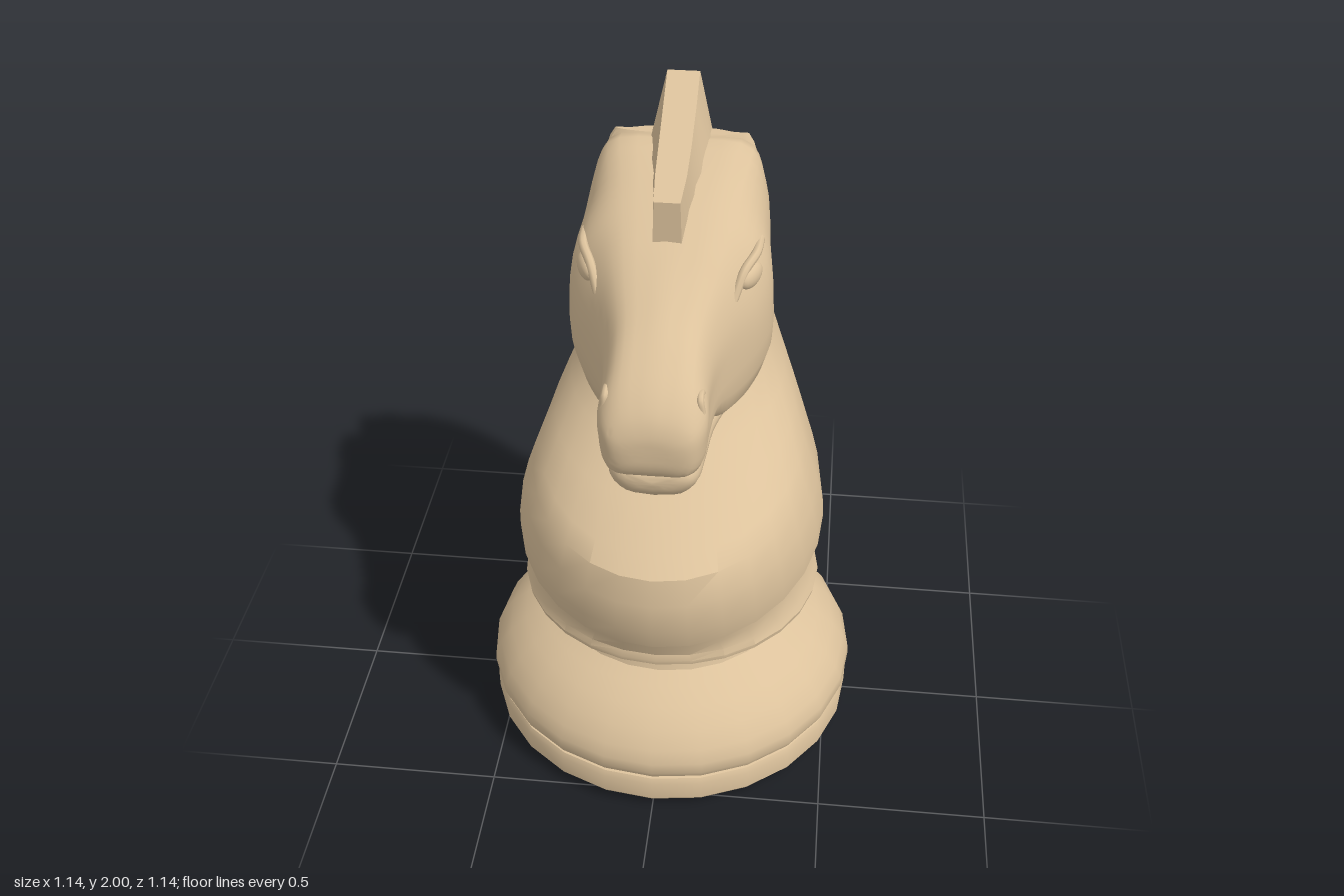
import * as THREE from 'three';
import { mergeVertices, toCreasedNormals } from 'three/addons/utils/BufferGeometryUtils.js';

const V = (x, y, z) => new THREE.Vector3(x, y, z);
const lerp = THREE.MathUtils.lerp;

// resample a row of points with a smooth curve
function smooth(points, n) {
  const curve = new THREE.CatmullRomCurve3(points);
  return Array.from({ length: n + 1 }, (_, i) => curve.getPoint(i / n));
}

// skin a list of half sections (x >= 0, centre to centre), mirrored to full rings
function loft(halves, crease) {
  const rings = halves.map(h => [...h, ...h.slice(1, -1).reverse().map(p => V(-p.x, p.y, p.z))]);
  const n = rings[0].length, pos = [], index = [];
  rings.forEach(r => r.forEach(p => pos.push(p.x, p.y, p.z)));
  for (let i = 0; i < rings.length - 1; i++) {
    for (let j = 0; j < n; j++) {
      const a = i * n + j, b = i * n + (j + 1) % n;
      index.push(a, a + n, b, b, a + n, b + n);
    }
  }
  const g = new THREE.BufferGeometry();
  g.setAttribute('position', new THREE.Float32BufferAttribute(pos, 3));
  g.setIndex(index);
  return toCreasedNormals(mergeVertices(g), crease);
}

// loft with smoothing across and along the sections
function smoothLoft(halves, across, along) {
  const rows = halves.map(h => smooth(h, across));
  const cols = rows[0].map((_, j) => smooth(rows.map(r => r[j]), along));
  return loft(Array.from({ length: along + 1 }, (_, i) => cols.map(c => c[i])), 0.8);
}

export function createModel() {
  const model = new THREE.Group();
  const wood = new THREE.MeshStandardMaterial({ color: 0xdcc29c });
  wood.name = 'paleWood';
  const add = (name, geometry) => {
    const mesh = new THREE.Mesh(geometry, wood);
    mesh.name = name;
    model.add(mesh);
    return mesh;
  };

  // turned pedestal
  const profile = [[0, 0], [0.52, 0], [0.53, 0.022], [0.555, 0.026], [0.565, 0.04], [0.565, 0.1],
    [0.557, 0.118], [0.54, 0.122], [0.54, 0.128], [0.56, 0.132], [0.57, 0.155], [0.568, 0.19],
    [0.55, 0.23], [0.515, 0.28], [0.465, 0.325], [0.41, 0.36], [0.37, 0.38], [0.365, 0.383],
    [0.35, 0.43], [0.342, 0.47], [0.342, 0.49]].map(p => new THREE.Vector2(...p));
  add('pedestal', toCreasedNormals(new THREE.LatheGeometry(profile, 24), 0.6));

  // chest and neck, top to bottom: front y, back y, front z, back z, half width, back corner x and z
  const neckRings = [
    [1.845, 1.845, -0.24, -0.29, 0.185, 0.18, -0.255],
    [1.82, 1.82, -0.22, -0.31, 0.2, 0.195, -0.265],
    [1.72, 1.72, -0.16, -0.37, 0.232, 0.2, -0.315],
    [1.6, 1.6, -0.1, -0.42, 0.245, 0.2, -0.36],
    [1.45, 1.45, -0.05, -0.47, 0.25, 0.21, -0.405],
    [1.28, 1.32, 0, -0.51, 0.255, 0.22, -0.44],
    [1.16, 1.25, 0.08, -0.53, 0.28, 0.23, -0.455],
    [1.08, 1.17, 0.19, -0.545, 0.318, 0.24, -0.47],
    [1.0, 1.1, 0.33, -0.552, 0.356, 0.245, -0.48]];
  const chestRings = [
    [0.925, 1.04, 0.47, -0.555, 0.388, 0.25, -0.485],
    [0.88, 0.98, 0.522, -0.555, 0.41, 0.25, -0.49],
    [0.8, 0.92, 0.542, -0.55, 0.435, 0.25, -0.49],
    [0.7, 0.86, 0.54, -0.545, 0.456, 0.25, -0.49],
    [0.625, 0.81, 0.515, -0.54, 0.46, 0.25, -0.487],
    [0.605, 0.71, 0.47, -0.475, 0.418, 0.23, -0.42],
    [0.56, 0.62, 0.455, -0.46, 0.418, 0.23, -0.405],
    [0.52, 0.525, 0.44, -0.468, 0.445, 0.25, -0.405],
    [0.5, 0.5, 0.446, -0.475, 0.455, 0.25, -0.41],
    [0.485, 0.485, 0.443, -0.472, 0.452, 0.25, -0.407],
    [0.48, 0.48, 0.43, -0.46, 0.44, 0.245, -0.395]];
  const bodyHalf = ([yF, yB, zF, zB, w, ex, ez]) => {
    const zw = (zF + zB) / 2, pts = [];
    for (let i = 0; i <= 7; i++) {
      const a = i / 7 * Math.PI / 2;
      pts.push([w * Math.sin(a), zw + (zF - zw) * Math.cos(a)]);
    }
    pts.push([lerp(ex, w, 0.88), lerp(zw, ez, 0.4)], [lerp(ex, w, 0.55), lerp(zw, ez, 0.75)],
      [ex, ez], [ex * 0.55, lerp(ez, zB, 0.72)], [0, zB]);
    return pts.map(([x, z]) => V(x, lerp(yF, yB, (zF - z) / (zF - zB)), z));
  };
  const body = [...neckRings, ...chestRings].map(bodyHalf);
  body.unshift(body[0].map(() => V(0, 1.845, -0.27)));
  body.push(body[body.length - 1].map(() => V(0, 0.48, 0)));
  add('chestAndNeck', loft(body, 0.55));

  // head, back to front: z, top y, then x and y of crown, brow, cheek and jaw, bottom y
  const skull = [
    [-0.36, 1.65, 0.1, 1.63, 0.17, 1.55, 0.2, 1.45, 0.2, 1.35, 1.33],
    [-0.25, 1.84, 0.19, 1.825, 0.235, 1.72, 0.25, 1.5, 0.245, 1.31, 1.28],
    [-0.1, 1.8, 0.17, 1.78, 0.245, 1.68, 0.267, 1.5, 0.25, 1.3, 1.25],
    [0.03, 1.755, 0.15, 1.735, 0.245, 1.65, 0.28, 1.5, 0.25, 1.275, 1.2],
    [0.12, 1.71, 0.135, 1.69, 0.213, 1.6, 0.25, 1.47, 0.215, 1.24, 1.167],
    [0.2, 1.665, 0.12, 1.64, 0.175, 1.56, 0.2, 1.44, 0.175, 1.235, 1.18]];
  const muzzle = [
    [0.3, 1.605, 0.1, 1.58, 0.145, 1.5, 0.155, 1.4, 0.142, 1.285, 1.272],
    [0.4, 1.545, 0.095, 1.525, 0.135, 1.46, 0.14, 1.38, 0.13, 1.272, 1.262],
    [0.48, 1.485, 0.095, 1.465, 0.138, 1.41, 0.14, 1.34, 0.12, 1.255, 1.245],
    [0.525, 1.43, 0.08, 1.415, 0.115, 1.385, 0.12, 1.33, 0.1, 1.26, 1.25],
    [0.543, 1.38, 0.055, 1.375, 0.085, 1.36, 0.09, 1.33, 0.07, 1.29, 1.285],
    [0.546, 1.335, 0, 1.335, 0, 1.335, 0, 1.335, 0, 1.335, 1.335]];
  add('head', smoothLoft([...skull, ...muzzle].map(([z, top, tx, ty, bx, by, cx, cy, jx, jy, bot]) =>
    [V(0, top, z), V(tx, ty, z), V(bx, by, z), V(cx, cy, z), V(jx, jy, z), V(0, bot, z)]), 18, 44));

  // lower jaw: z, top y, half width, bottom y
  add('lowerJaw', smoothLoft([
    [0.16, 1.25, 0.17, 1.17], [0.28, 1.26, 0.142, 1.165], [0.38, 1.247, 0.13, 1.138],
    [0.45, 1.23, 0.117, 1.13], [0.482, 1.222, 0.09, 1.16], [0.492, 1.195, 0, 1.195],
  ].map(([z, top, w, bot]) => [V(0, top, z), V(w * 0.9, top, z), V(w, lerp(bot, top, 0.6), z),
    V(w * 0.65, lerp(bot, top, 0.12), z), V(0, bot, z)]), 12, 20));

  // mane crest from the nape up and forward: outer z, y, inner z, y, outer and inner half width
  const crest = [
    [-0.55, 0.98, -0.5, 0.98, 0.05, 0.08], [-0.565, 1.13, -0.48, 1.1, 0.05, 0.09],
    [-0.567, 1.27, -0.46, 1.24, 0.05, 0.1], [-0.555, 1.42, -0.44, 1.37, 0.05, 0.105],
    [-0.53, 1.57, -0.4, 1.5, 0.048, 0.11], [-0.48, 1.72, -0.35, 1.63, 0.046, 0.11],
    [-0.41, 1.86, -0.28, 1.74, 0.045, 0.105], [-0.31, 2, -0.2, 1.78, 0.045, 0.095],
    [-0.2, 1.942, -0.12, 1.76, 0.045, 0.08], [-0.08, 1.887, -0.05, 1.73, 0.044, 0.065],
    [0.02, 1.852, 0.02, 1.7, 0.042, 0.052], [0.118, 1.825, 0.118, 1.66, 0.035, 0.04],
  ].map(([oz, oy, iz, iy, ow, iw]) => [V(0, oy, oz), V(ow, oy, oz), V(iw, iy, iz), V(0, iy, iz)]);
  crest.unshift(crest[0].map(() => V(0, 0.98, -0.52)));
  crest.push(crest[crest.length - 1].map(() => V(0, 1.74, 0.118)));
  add('maneCrest', loft(crest, 0.5));

  // eyes, lids and nostrils on both sides
  for (const s of [1, -1]) {
    const side = s > 0 ? 'left' : 'right';
    const ridge = (name, pts, r) => add(side + name, new THREE.TubeGeometry(
      new THREE.CatmullRomCurve3(pts.map(([x, y, z]) => V(x * s, y, z))), 16, r, 8));
    const eye = add(side + 'Eye', new THREE.SphereGeometry(1, 20, 12));
    eye.scale.set(0.024, 0.034, 0.055);
    eye.position.set(0.22 * s, 1.608, 0.092);
    eye.rotation.y = -0.38 * s;
    ridge('UpperLid', [[0.18, 1.57, 0.165], [0.205, 1.635, 0.12], [0.232, 1.657, 0.06], [0.238, 1.66, -0.015]], 0.013);
    ridge('LowerLid', [[0.18, 1.57, 0.165], [0.227, 1.567, 0.105], [0.245, 1.59, 0.045], [0.238, 1.655, 0.01]], 0.009);
    ridge('Nostril', [[0.128, 1.42, 0.47], [0.122, 1.455, 0.465], [0.122, 1.46, 0.435], [0.128, 1.425, 0.405]], 0.01);
  }
  return model;
}
